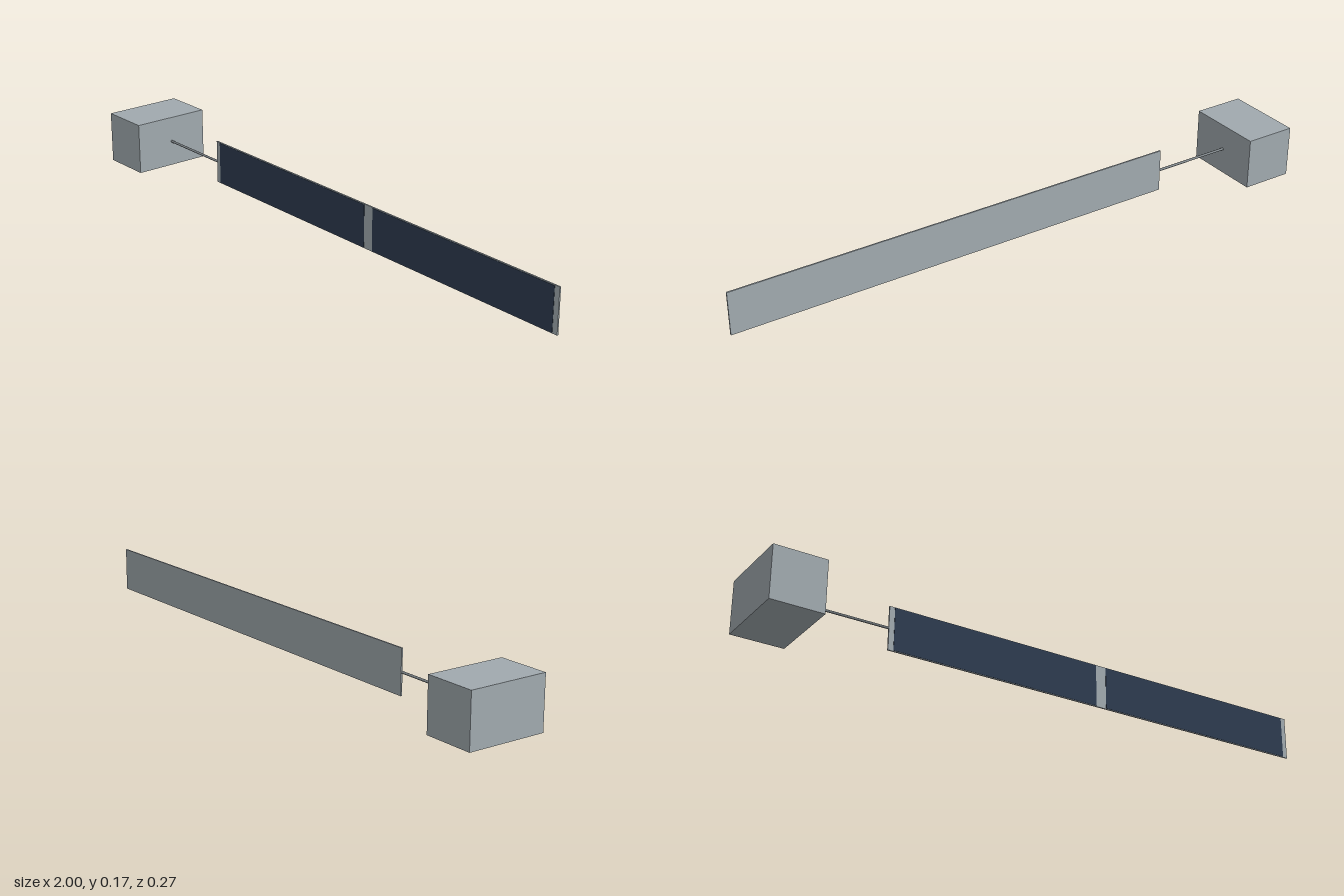
import * as THREE from 'three';

export function createModel() {
  const model = new THREE.Group();
  const material = (name, color) => {
    const m = new THREE.MeshStandardMaterial({ color });
    m.name = name;
    return m;
  };
  const bodyGrey = material('bodyGrey', 0xa0a9ae);
  const boomGrey = material('boomGrey', 0x80878b);
  const cellBlue = material('cellBlue', 0x2d3b4f);
  const midY = 0.087;

  // Box spanning x0..x1 and z0..z1, centred on the boom's height
  const addBox = (name, mat, x0, x1, height, z0, z1) => {
    const mesh = new THREE.Mesh(new THREE.BoxGeometry(x1 - x0, height, z1 - z0), mat);
    mesh.name = name;
    mesh.position.set((x0 + x1) / 2, midY, (z0 + z1) / 2);
    model.add(mesh);
  };

  // Mounting block and long thin backing panel
  addBox('mountBlock', bodyGrey, -1, -0.826, 0.174, -0.135, 0.135);
  addBox('panel', bodyGrey, -0.555, 1, 0.146, -0.0025, 0.0025);

  // Two dark solar cell fields on the front face
  for (const [i, [x0, x1]] of [[-0.537, 0.2], [0.238, 0.982]].entries()) {
    addBox('solarCells' + (i + 1), cellBlue, x0, x1, 0.142, 0.002, 0.0035);
  }

  // Thin boom joining block and panel
  const boom = new THREE.Mesh(new THREE.CylinderGeometry(0.004, 0.004, 0.275, 12), boomGrey);
  boom.name = 'boom';
  boom.rotation.z = Math.PI / 2;
  boom.position.set(-0.691, midY, 0);
  model.add(boom);

  return model;
}
